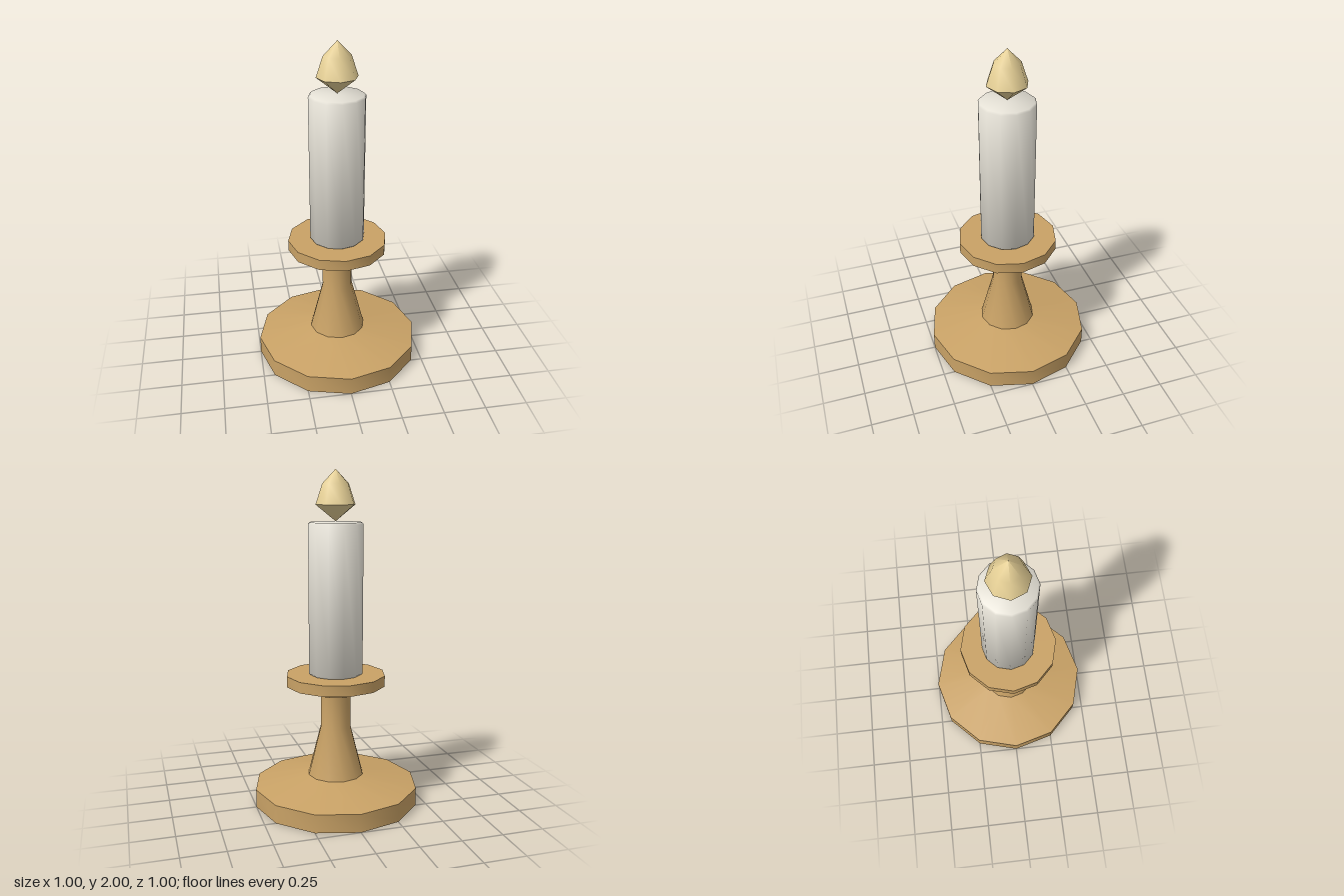
import * as THREE from 'three';
import { toCreasedNormals } from 'three/addons/utils/BufferGeometryUtils.js';

const brass = new THREE.MeshStandardMaterial({ name: 'brass', color: 0xc9a266 });
const wax = new THREE.MeshStandardMaterial({ name: 'wax', color: 0xe4e0d5 });
const glow = new THREE.MeshStandardMaterial({ name: 'glow', color: 0xe6d096 });

// Turned part from [radius, height] pairs, bottom to top
function turned(name, profile, sides, material) {
  const points = profile.map(([r, y]) => new THREE.Vector2(r, y));
  const geometry = toCreasedNormals(new THREE.LatheGeometry(points, sides), 0.95);
  const mesh = new THREE.Mesh(geometry, material);
  mesh.name = name;
  return mesh;
}

export function createModel() {
  const model = new THREE.Group();
  model.name = 'candlestick';

  // Holder: broad foot, tapering stem and drip plate in one turned piece
  model.add(turned('holder', [
    [0, 0], [0.5, 0], [0.5, 0.11], [0.17, 0.17], [0.092, 0.475],
    [0.092, 0.67], [0.3, 0.735], [0.3, 0.8], [0, 0.8],
  ], 12, brass));

  // Candle with small bevels at both ends
  model.add(turned('candle', [
    [0, 0.8], [0.155, 0.8], [0.165, 0.81], [0.165, 1.69], [0.155, 1.7], [0, 1.7],
  ], 12, wax));

  // Flame resting on its point
  model.add(turned('flame', [
    [0, 1.705], [0.12, 1.8], [0.08, 1.918], [0, 2],
  ], 8, glow));

  return model;
}
